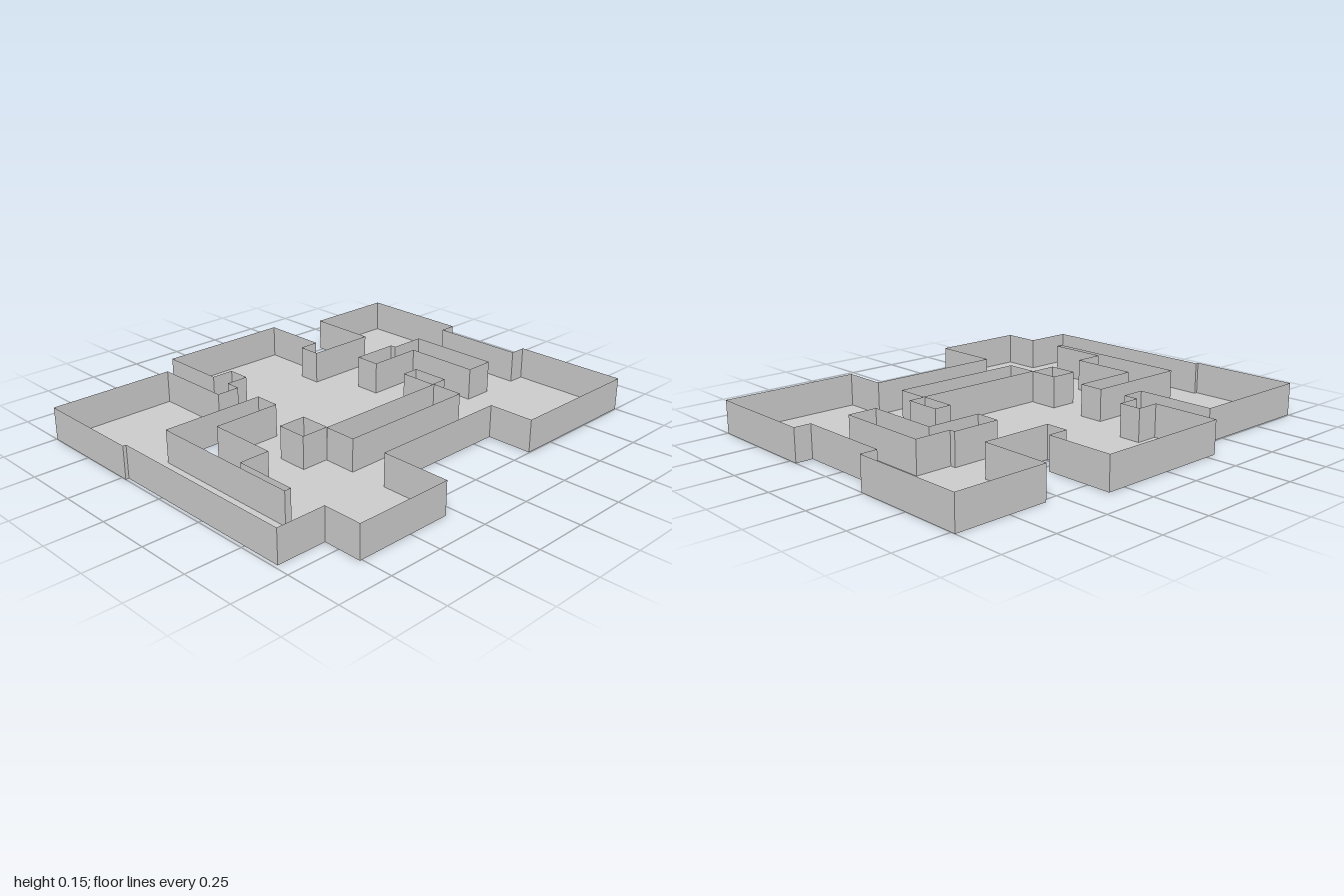
import * as THREE from 'three';
import { mergeGeometries } from 'three/addons/utils/BufferGeometryUtils.js';

const WALL_HEIGHT = 0.15;

// Plan outlines as [x, z] corners
const outerPlan = [
  [-1, -0.745], [-0.41, -0.745], [-0.41, -0.37], [-0.3, -0.37], [-0.3, -0.44], [-0.195, -0.44],
  [-0.195, -0.545], [-0.3, -0.545], [-0.3, -0.86], [0.335, -0.86], [0.335, -0.545], [0.24, -0.545],
  [0.24, -0.44], [0.572, -0.44], [0.572, -0.77], [1, -0.77], [1, -0.235], [0.922, -0.235],
  [0.922, 0.21], [1, 0.21], [1, 0.747], [0.353, 0.747], [0.353, 0.535], [-0.305, 0.535],
  [-0.305, 0.857], [-0.76, 0.857], [-0.76, 0.68], [-0.985, 0.68], [-0.985, -0.225], [-1, -0.225],
];

const rect = (x0, z0, x1, z1) => [[x0, z0], [x1, z0], [x1, z1], [x0, z1]];

// Gaps between rooms and corridors
const gapPlans = {
  leftGap: [[-0.79, -0.23], [-0.3, -0.23], [-0.3, -0.112], [-0.62, -0.112],
    [-0.62, 0.21], [-0.76, 0.21], [-0.76, 0.5], [-0.79, 0.5]],
  rightGap: [[0.348, -0.262], [0.572, -0.262], [0.572, -0.235], [0.742, -0.235],
    [0.742, 0.208], [0.605, 0.208], [0.605, -0.145], [0.348, -0.145]],
  smallLeftGap: rect(-0.432, 0.065, -0.302, 0.205),
  smallRightGap: rect(0.348, 0.032, 0.43, 0.205),
  frontGap: rect(-0.305, 0.209, 0.353, 0.36),
};

const toPoints = plan => plan.map(([x, z]) => new THREE.Vector2(x, -z));

// One thin upright panel for every edge of a closed plan
function wallGeometry(plan) {
  return mergeGeometries(plan.map(([x0, z0], i) => {
    const [x1, z1] = plan[(i + 1) % plan.length];
    const panel = new THREE.PlaneGeometry(Math.hypot(x1 - x0, z1 - z0), WALL_HEIGHT);
    panel.rotateY(-Math.atan2(z1 - z0, x1 - x0));
    return panel.translate((x0 + x1) / 2, WALL_HEIGHT / 2, (z0 + z1) / 2);
  }));
}

export function createModel() {
  const group = new THREE.Group();
  group.name = 'roomLayout';
  const material = new THREE.MeshStandardMaterial({
    color: 0xcccccc, side: THREE.DoubleSide, flatShading: true,
  });
  const add = (name, geometry) => {
    const mesh = new THREE.Mesh(geometry, material);
    mesh.name = name;
    group.add(mesh);
  };

  // Floor shared by all rooms and corridors
  const floor = new THREE.Shape(toPoints(outerPlan));
  for (const plan of Object.values(gapPlans)) floor.holes.push(new THREE.Path(toPoints(plan)));
  add('floor', new THREE.ShapeGeometry(floor).rotateX(-Math.PI / 2));

  // Walls around the outside and around each gap
  add('outerWalls', wallGeometry(outerPlan));
  for (const [name, plan] of Object.entries(gapPlans)) add(name + 'Walls', wallGeometry(plan));

  return group;
}
